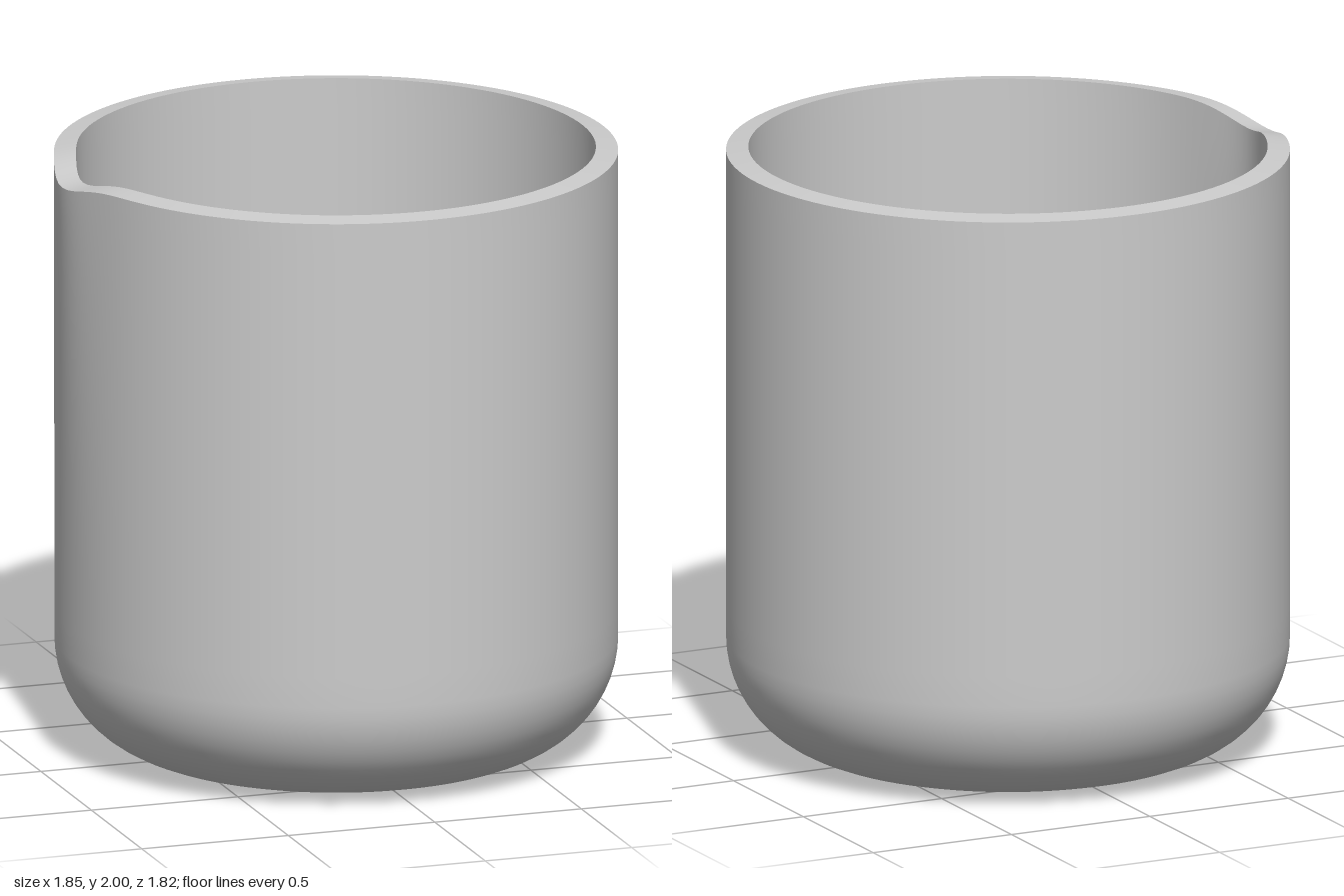
import * as THREE from 'three';
import { toCreasedNormals } from 'three/addons/utils/BufferGeometryUtils.js';

const OUTER = 0.91, INNER = 0.838, FLOOR = 0.07;

// Quarter-round corner between a floor and a wall, listed from floor to wall
function corner(wallRadius, floorY, size, steps = 14) {
  const points = [];
  for (let i = 0; i <= steps; i++) {
    const a = (i / steps) * Math.PI / 2;
    points.push(new THREE.Vector2(
      wallRadius - size + size * Math.sin(a),
      floorY + size - size * Math.cos(a)));
  }
  return points;
}

// Straight wall split into rings so that the spout can bend it
function wall(radius, from, to, steps = 16) {
  const points = [];
  for (let i = 1; i <= steps; i++) {
    points.push(new THREE.Vector2(radius, from + (to - from) * i / steps));
  }
  return points;
}

// Pull the wall outwards and dip the rim around the -x direction
function shapeSpout(geometry) {
  const p = geometry.attributes.position;
  for (let i = 0; i < p.count; i++) {
    const x = p.getX(i), y = p.getY(i), z = p.getZ(i);
    const angle = Math.atan2(z, -x);
    const w = Math.exp(-((angle / 0.19) ** 2));
    const rise = Math.max(0, (y - 0.4) / 1.6);
    const radius = Math.hypot(x, z);
    const pull = radius > 0.8 ? 1 + 0.026 * w * rise ** 2 / radius : 1;
    const dip = 0.043 * w * THREE.MathUtils.smoothstep(y, 1.6, 1.99);
    p.setXYZ(i, x * pull, y - dip, z * pull);
  }
}

export function createModel() {
  const group = new THREE.Group();
  group.name = 'pouringCup';

  // Closed section: underside, outer wall, rim, inner wall, inner floor
  const outside = [...corner(OUTER, 0, 0.37), ...wall(OUTER, 0.37, 1.99)];
  const inside = [...corner(INNER, FLOOR, 0.3), ...wall(INNER, FLOOR + 0.3, 2)];
  const profile = [
    new THREE.Vector2(0, 0), ...outside,
    ...inside.reverse(), new THREE.Vector2(0, FLOOR),
  ];

  let geometry = new THREE.LatheGeometry(profile, 144);
  shapeSpout(geometry);
  geometry = toCreasedNormals(geometry, THREE.MathUtils.degToRad(35));

  const cup = new THREE.Mesh(geometry, new THREE.MeshStandardMaterial({ color: 0xcccccc }));
  cup.name = 'cupBody';
  cup.position.x = 0.008;
  group.add(cup);
  return group;
}
